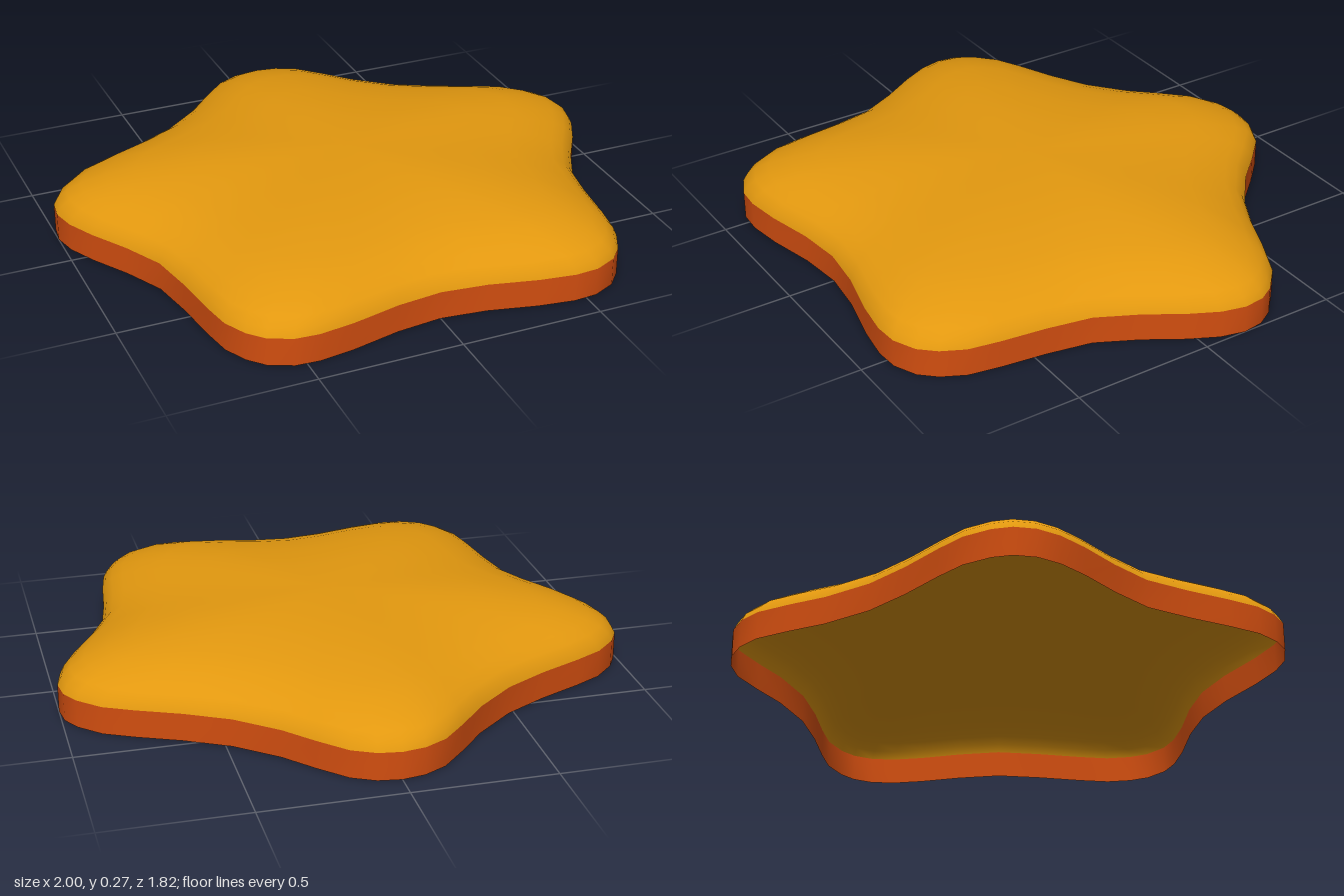
import * as THREE from 'three';

// Right half of the rounded star outline as [x, z], from back tip to front valley
const HALF = [
  [0, -0.912], [0.08, -0.9], [0.16, -0.86], [0.25, -0.77], [0.34, -0.67], [0.48, -0.555],
  [0.63, -0.475], [0.78, -0.41], [0.88, -0.36], [0.955, -0.29], [0.99, -0.23], [1, -0.155],
  [0.98, -0.07], [0.93, 0.03], [0.85, 0.16], [0.78, 0.3], [0.75, 0.46], [0.73, 0.62],
  [0.71, 0.73], [0.67, 0.81], [0.62, 0.865], [0.54, 0.902], [0.455, 0.908], [0.33, 0.89],
  [0.16, 0.85], [0, 0.832],
];
const OUTLINE = [...HALF, ...HALF.slice(1, -1).reverse().map(([x, z]) => [-x, z])];
const CENTRE_Z = 0.05;

// Stacks scaled copies of the outline, given as [scale, y], into one smooth surface
function starSurface(rings, capY) {
  const n = OUTLINE.length, pos = [], index = [];
  for (const [s, y] of rings) {
    for (const [x, z] of OUTLINE) pos.push(x * s, y, CENTRE_Z + (z - CENTRE_Z) * s);
  }
  for (let r = 0; r < rings.length - 1; r++) {
    for (let i = 0; i < n; i++) {
      const a = r * n + i, b = r * n + (i + 1) % n;
      index.push(a, a + n, b, b, a + n, b + n);
    }
  }
  if (capY !== undefined) {
    const last = (rings.length - 1) * n, c = rings.length * n;
    pos.push(0, capY, CENTRE_Z);
    for (let i = 0; i < n; i++) index.push(last + i, c, last + (i + 1) % n);
  }
  const g = new THREE.BufferGeometry();
  g.setAttribute('position', new THREE.Float32BufferAttribute(pos, 3));
  g.setIndex(index);
  g.computeVertexNormals();
  return g;
}

export function createModel() {
  const group = new THREE.Group();
  group.name = 'starCushion';
  const amber = new THREE.MeshStandardMaterial({ color: 0xe2980f, side: THREE.DoubleSide });
  amber.name = 'amber';
  const rust = new THREE.MeshStandardMaterial({ color: 0xd24e10, side: THREE.DoubleSide });
  rust.name = 'rust orange';

  // Upright rim, open underneath
  const rim = new THREE.Mesh(starSurface([[1, 0], [1, 0.1]]), rust);
  rim.name = 'rim';

  // Shallow hollow dome
  const dome = new THREE.Mesh(starSurface([
    [1, 0.1], [0.985, 0.128], [0.955, 0.153], [0.905, 0.178], [0.82, 0.205],
    [0.72, 0.228], [0.52, 0.253], [0.28, 0.265],
  ], 0.27), amber);
  dome.name = 'dome';

  group.add(rim, dome);
  return group;
}
